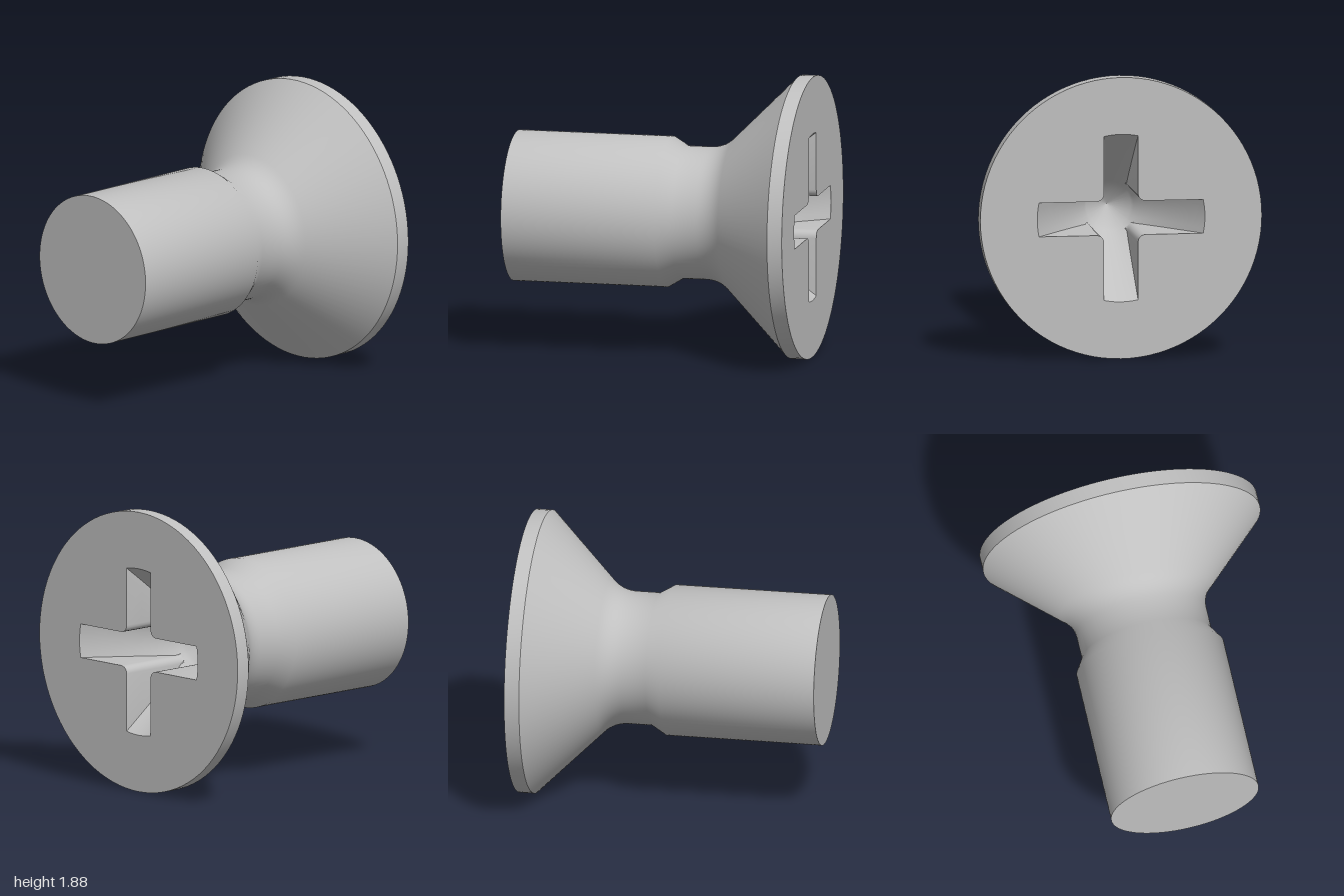
import * as THREE from 'three';
import { toCreasedNormals } from 'three/addons/utils/BufferGeometryUtils.js';

const HEAD_R = 0.94, SHANK_R = 0.5;
const ARM = 0.56, HALF_W = 0.113, FILLET = 0.05; // cross recess

// Outline of the cross recess trimmed to a circle of radius R, counter-clockwise
function crossOutline(R) {
  const one = [];
  const a = Math.min(Math.asin(Math.min(1, HALF_W / Math.max(R, 1e-6))), Math.atan2(HALF_W, HALF_W + FILLET));
  for (let i = 0; i <= 6; i++) {
    const t = a * (i / 3 - 1);
    one.push([R * Math.cos(t), R * Math.sin(t)]);
  }
  const c = HALF_W + FILLET;
  for (let i = 0; i <= 5; i++) {
    const t = Math.PI * (1.5 - i / 10);
    const x = c + FILLET * Math.cos(t), y = c + FILLET * Math.sin(t);
    const k = Math.min(1, R / Math.hypot(x, y));
    one.push([x * k, y * k]);
  }
  const out = [];
  for (let q = 0; q < 4; q++) {
    const co = Math.round(Math.cos(q * Math.PI / 2)), si = Math.round(Math.sin(q * Math.PI / 2));
    for (const [x, y] of one) out.push(new THREE.Vector2(x * co - y * si, x * si + y * co));
  }
  return out;
}

// Recess walls and floor: cross sections stacked from the face down to the tip
function recessGeometry() {
  const radii = [ARM, 0.46, 0.36, 0.28, 0.23, 0.2, 0.18, 0.165, 0.15, 0];
  const pos = [], index = [];
  let n = 0;
  radii.forEach((R, i) => {
    const z = R > 0 ? -(ARM - R) / 0.72 : -0.65;
    const ring = crossOutline(R);
    n = ring.length;
    for (const p of ring) pos.push(p.x, p.y, z);
    if (i === 0) return;
    for (let j = 0; j < n; j++) {
      const k = (j + 1) % n, u = (i - 1) * n, l = i * n;
      index.push(u + j, u + k, l + j, u + k, l + k, l + j);
    }
  });
  const g = new THREE.BufferGeometry();
  g.setAttribute('position', new THREE.Float32BufferAttribute(pos, 3));
  g.setIndex(index);
  return toCreasedNormals(g, 0.5);
}

export function createModel() {
  const group = new THREE.Group();
  group.name = 'countersunkScrew';
  const steel = new THREE.MeshStandardMaterial({ color: 0xc0c0c0 });
  steel.name = 'steel grey';
  const add = (name, geometry, parent) => {
    const mesh = new THREE.Mesh(geometry, steel);
    mesh.name = name;
    parent.add(mesh);
    return mesh;
  };

  const axis = new THREE.Group();
  axis.name = 'screw';
  axis.position.y = HEAD_R;
  group.add(axis);

  // Rim, countersunk cone, fillet, neck, chamfer and shank in one turned profile
  const v = (r, z) => new THREE.Vector2(r, z);
  const fillet = new THREE.QuadraticBezierCurve(v(0.511, -0.471), v(0.44, -0.4), v(0.44, -0.3));
  const profile = [
    v(HEAD_R, -1), v(HEAD_R, -0.9), ...fillet.getPoints(8),
    v(0.44, -0.14), v(SHANK_R, -0.04), v(SHANK_R, 1),
  ];
  const body = new THREE.LatheGeometry(profile, 96);
  body.rotateX(Math.PI / 2);
  add('headAndShank', toCreasedNormals(body, 0.6), axis);

  // Flat end of the shank
  add('shankEnd', new THREE.CircleGeometry(SHANK_R, 96), axis).position.z = 1;

  // Head face with the cross-shaped hole, and the recess behind it
  const head = new THREE.Group();
  head.name = 'driveFace';
  head.rotation.y = Math.PI;
  head.position.z = -1;
  axis.add(head);
  const disc = new THREE.Shape();
  disc.absarc(0, 0, HEAD_R, 0, Math.PI * 2, false);
  disc.holes.push(new THREE.Path(crossOutline(ARM).reverse()));
  add('headFace', new THREE.ShapeGeometry(disc, 48), head);
  add('crossRecess', recessGeometry(), head);

  return group;
}
